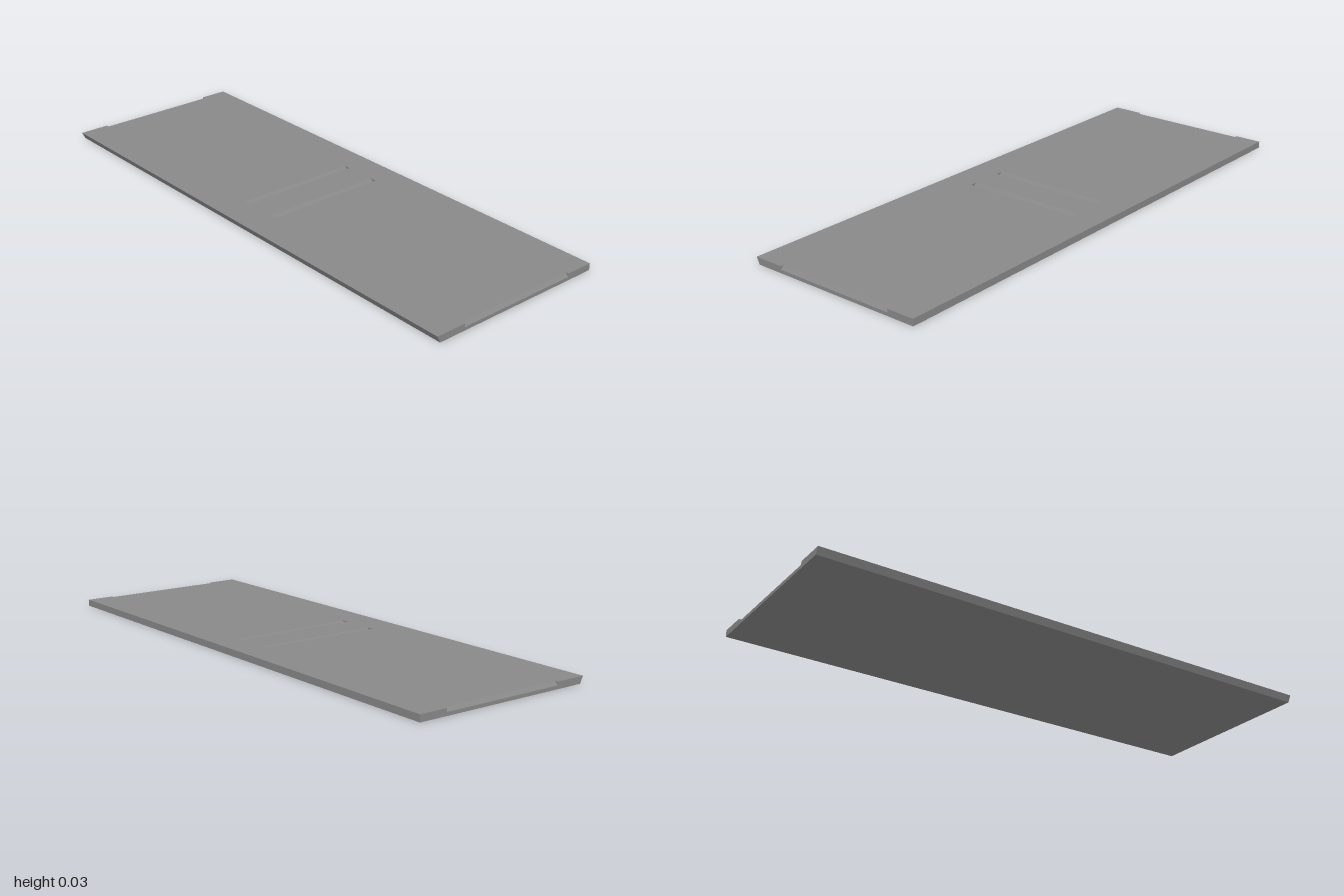
import * as THREE from 'three';

// Plank dimensions
const W = 0.35, L = 1, T = 0.025, BEVEL = 0.012;
// V-cuts: x range, depth, half width, centre positions along z
const X0 = -0.234, X1 = 0.244, D = 0.0125, H = 0.0143;
const GROOVES = [-0.075, 0.07];

const material = new THREE.MeshStandardMaterial({ color: 0x888888, flatShading: true });

// Flat face from 2D outlines; place(u, v) gives the 3D position, flip reverses the winding
function face(name, outline, holes, place, flip = false) {
  const toVec = (p) => new THREE.Vector2(p[0], p[1]);
  const shape = new THREE.Shape(outline.map(toVec));
  shape.holes = holes.map((h) => new THREE.Path(h.map(toVec)));
  const flat = new THREE.ShapeGeometry(shape).toNonIndexed();
  const src = flat.attributes.position, pts = [];
  for (let i = 0; i < src.count; i += 3) {
    for (const k of flip ? [0, 2, 1] : [0, 1, 2]) pts.push(...place(src.getX(i + k), src.getY(i + k)));
  }
  return solid(name, pts);
}

function solid(name, pts) {
  const g = new THREE.BufferGeometry();
  g.setAttribute('position', new THREE.Float32BufferAttribute(pts, 3));
  g.computeVertexNormals();
  const mesh = new THREE.Mesh(g, material);
  mesh.name = name;
  return mesh;
}

// Counter-clockwise quad as two triangles
const quad = (a, b, c, d) => [...a, ...b, ...c, ...a, ...c, ...d];

// Sloping wall from top edge zTop down to zLow, with its two triangular end walls
function cutWall(zTop, zLow) {
  const y = T - D;
  const a = [X0, T, zTop], b = [X1, T, zTop], c = [X1, y, zLow], d = [X0, y, zLow];
  const e0 = [X0, T, zLow], e1 = [X1, T, zLow];
  return zLow > zTop
    ? [...quad(a, d, c, b), ...a, ...e0, ...d, ...b, ...c, ...e1]
    : [...quad(a, b, c, d), ...a, ...d, ...e0, ...b, ...e1, ...c];
}

export function createModel() {
  const group = new THREE.Group();
  group.name = 'plank';

  // Top surface with end notches and groove openings
  const n = L - D;
  const top = [[-W, -L], [X0, -L], [X0, -n], [X1, -n], [X1, -L], [W, -L],
    [W, L], [X1, L], [X1, n], [X0, n], [X0, L], [-W, L]];
  const slots = GROOVES.map((z) => [[X0, z - H], [X0, z + H], [X1, z + H], [X1, z - H]]);
  group.add(face('topSurface', top, slots, (x, z) => [x, T, z], true));

  // Front and back ends, notched along the upper edge
  const b = -W + BEVEL;
  const end = [[b, 0], [W, 0], [W, T], [X1, T], [X1, T - D], [X0, T - D], [X0, T], [-W, T]];
  group.add(face('frontEnd', end, [], (x, y) => [x, y, L]));
  group.add(face('backEnd', end, [], (x, y) => [x, y, -L], true));

  // Underside, square left edge and slanted right edge
  group.add(solid('underside', quad([b, 0, -L], [W, 0, -L], [W, 0, L], [b, 0, L])));
  group.add(solid('leftEdge', quad([W, 0, L], [W, 0, -L], [W, T, -L], [W, T, L])));
  group.add(solid('slantedRightEdge', quad([b, 0, -L], [b, 0, L], [-W, T, L], [-W, T, -L])));

  // V-grooves across the middle
  GROOVES.forEach((z, i) => {
    group.add(solid(`groove${i + 1}`, [...cutWall(z - H, z), ...cutWall(z + H, z)]));
  });

  // Half grooves at both ends
  group.add(solid('frontNotch', cutWall(n, L)));
  group.add(solid('backNotch', cutWall(-n, -L)));
  return group;
}
